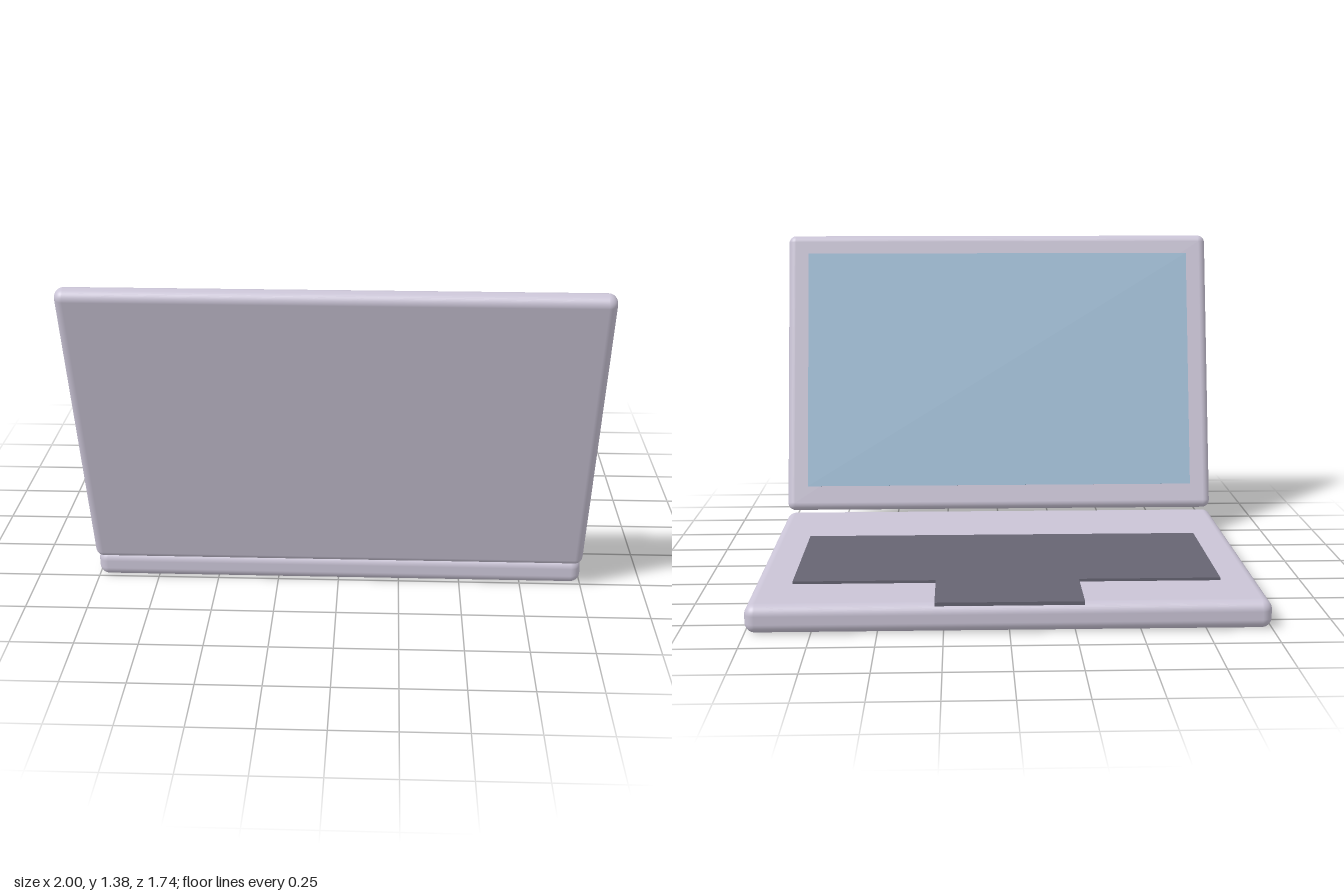
import * as THREE from 'three';
import { RoundedBoxGeometry } from 'three/addons/geometries/RoundedBoxGeometry.js';

const shell = new THREE.MeshStandardMaterial({ color: 0xcac4d6 });
const dark = new THREE.MeshStandardMaterial({ color: 0x666472 });
const glass = new THREE.MeshStandardMaterial({ color: 0x9fbcd4 });

function part(name, geometry, material, x, y, z) {
  const mesh = new THREE.Mesh(geometry, material);
  mesh.name = name;
  mesh.position.set(x, y, z);
  return mesh;
}

export function createModel() {
  const laptop = new THREE.Group();
  laptop.name = 'laptop';

  // Base slab; the typing side points to -z
  laptop.add(part('base', new RoundedBoxGeometry(2, 0.112, 1.371, 5, 0.04), shell, 0, 0.056, -0.18));

  // Keyboard and touchpad: one thin T-shaped plate, drawn in (x, -z)
  const outline = [[-0.845, -0.035], [0.845, -0.035], [0.845, 0.6], [0.283, 0.6],
    [0.283, 0.87], [-0.283, 0.87], [-0.283, 0.6], [-0.845, 0.6]];
  const plate = new THREE.Shape(outline.map(([x, y]) => new THREE.Vector2(x, y)));
  const plateGeometry = new THREE.ExtrudeGeometry(plate, { depth: 0.014, bevelEnabled: false });
  plateGeometry.rotateX(-Math.PI / 2);
  laptop.add(part('keyboardAndTouchpad', plateGeometry, dark, 0, 0.109, 0));

  // Lid leaning back 15 degrees, with the screen on its inner face
  const lid = new THREE.Group();
  lid.name = 'lid';
  lid.add(part('lidShell', new RoundedBoxGeometry(2, 1.311, 0.075, 5, 0.034), shell, 0, 0, 0));
  lid.add(part('screen', new THREE.BoxGeometry(1.81, 1.11, 0.006), glass, 0, 0.01, -0.0365));
  lid.position.set(0, 0.749, 0.675);
  lid.rotation.x = THREE.MathUtils.degToRad(15);
  laptop.add(lid);

  return laptop;
}
